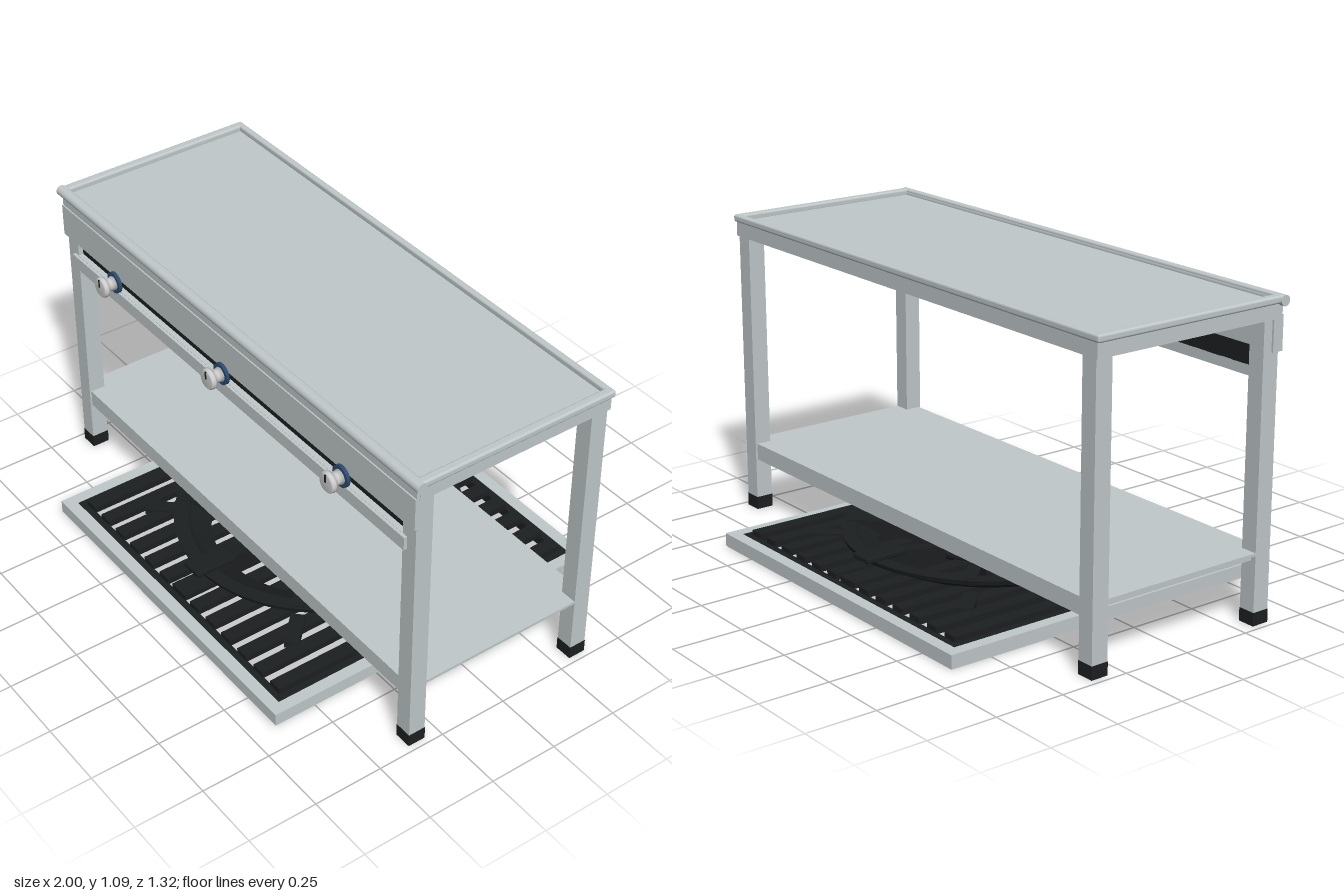
import * as THREE from 'three';
import { RoundedBoxGeometry } from 'three/addons/geometries/RoundedBoxGeometry.js';

const steel = new THREE.MeshStandardMaterial({ color: 0xc0c8ca });
const grey = new THREE.MeshStandardMaterial({ color: 0xcccccc });
const black = new THREE.MeshStandardMaterial({ color: 0x1c1f20 });
const blue = new THREE.MeshStandardMaterial({ color: 0x2c4a70 });

function add(parent, name, geometry, material) {
  const mesh = new THREE.Mesh(geometry, material);
  mesh.name = name;
  parent.add(mesh);
  return mesh;
}

// Box given by its [min, max] range on each axis, optionally with rounded edges
function box(parent, name, [x0, x1], [y0, y1], [z0, z1], material = steel, round = 0) {
  const size = [x1 - x0, y1 - y0, z1 - z0];
  const geometry = round ? new RoundedBoxGeometry(...size, 3, round) : new THREE.BoxGeometry(...size);
  const mesh = add(parent, name, geometry, material);
  mesh.position.set((x0 + x1) / 2, (y0 + y1) / 2, (z0 + z1) / 2);
  return mesh;
}

// Flat square frame lying in the xz plane
function squareFrame(parent, name, outer, inner, y0, y1, material) {
  const square = (r, T) => new T([[-r, -r], [r, -r], [r, r], [-r, r]].map(p => new THREE.Vector2(...p)));
  const shape = square(outer, THREE.Shape);
  shape.holes.push(square(inner, THREE.Path));
  const geometry = new THREE.ExtrudeGeometry(shape, { depth: y1 - y0, bevelEnabled: false });
  geometry.rotateX(-Math.PI / 2).translate(0, y0, 0);
  return add(parent, name, geometry, material);
}

// Turned part from [radius, height] points
const lathe = (points, segments) =>
  new THREE.LatheGeometry(points.map(p => new THREE.Vector2(...p)), segments);

function makeTable() {
  const table = new THREE.Group();
  table.name = 'table';

  // Worktop with a raised lip and a rolled front edge
  box(table, 'worktop', [-0.985, 0.985], [1.012, 1.068], [-0.372, 0.365]);
  for (const s of [-1, 1]) {
    box(table, 'sideLip', s < 0 ? [-0.997, -0.965] : [0.965, 0.997], [1.062, 1.088], [-0.378, 0.378], steel, 0.008);
  }
  box(table, 'backLip', [-0.997, 0.997], [1.062, 1.088], [-0.378, -0.354], steel, 0.008);
  box(table, 'frontLip', [-0.997, 0.997], [1.062, 1.088], [0.354, 0.378], steel, 0.008);
  const roll = add(table, 'frontRoll', new THREE.CylinderGeometry(0.018, 0.018, 2, 24), steel);
  roll.rotation.z = Math.PI / 2;
  roll.position.set(0, 1.07, 0.37);

  // Legs with black feet
  for (const sx of [-1, 1]) for (const sz of [-1, 1]) {
    const x = sx * 0.945, z = sz * 0.337;
    box(table, 'leg', [x - 0.031, x + 0.031], [0.045, 1.014], [z - 0.031, z + 0.031]);
    box(table, 'foot', [x - 0.032, x + 0.032], [0, 0.046], [z - 0.032, z + 0.032], black);
  }

  // Front apron, dark control strip and rail
  box(table, 'apron', [-0.983, 0.983], [0.905, 1.022], [0.34, 0.38]);
  box(table, 'apronTop', [-0.983, 0.983], [1.022, 1.055], [0.345, 0.375]);
  box(table, 'controlStrip', [-0.915, 0.915], [0.845, 0.91], [0.335, 0.35], black);
  box(table, 'frontRail', [-0.935, 0.935], [0.797, 0.845], [0.366, 0.38]);
  box(table, 'railFlange', [-0.915, 0.915], [0.837, 0.846], [0.335, 0.37]);

  // Lower shelf with folded edges
  box(table, 'shelf', [-0.975, 0.975], [0.24, 0.25], [-0.36, 0.36]);
  for (const s of [-1, 1]) {
    const z = s * 0.355, x = s * 0.95;
    box(table, 'shelfLongEdge', [-0.915, 0.915], [0.19, 0.25], [z - 0.006, z + 0.006]);
    box(table, 'shelfShortEdge', [x - 0.006, x + 0.006], [0.22, 0.25], [-0.306, 0.306]);
  }
  return table;
}

// Control knob pointing forward, with a blue bezel
function makeKnob(x) {
  const knob = new THREE.Group();
  knob.name = 'knob';
  add(knob, 'shaft', new THREE.CylinderGeometry(0.01, 0.01, 0.05, 16), grey).position.y = -0.025;
  add(knob, 'bezel', new THREE.CylinderGeometry(0.038, 0.038, 0.012, 32), blue).position.y = 0.006;
  add(knob, 'grip', lathe([[0, 0.01], [0.026, 0.01], [0.022, 0.03], [0.024, 0.042], [0.035, 0.046],
    [0.037, 0.052], [0.035, 0.062], [0.03, 0.066], [0, 0.066]], 32), grey);
  box(knob, 'pointer', [-0.003, 0.003], [0.06, 0.068], [-0.032, -0.004], black);
  knob.rotation.x = Math.PI / 2;
  knob.position.set(x, 0.892, 0.384);
  return knob;
}

// Square burner tray with slatted grate and raised pan support
function makeBurner() {
  const burner = new THREE.Group();
  burner.name = 'burner';
  box(burner, 'trayFloor', [-0.655, 0.655], [0, 0.01], [-0.655, 0.655], grey);
  squareFrame(burner, 'trayRim', 0.658, 0.615, 0.004, 0.05, steel);
  squareFrame(burner, 'grateFrame', 0.615, 0.588, 0.01, 0.049, black);

  for (let i = -6; i <= 6; i++) {
    const x = i * 0.0935;
    box(burner, 'slat', [x - 0.026, x + 0.026], [0.045, 0.068], [-0.592, 0.592], black);
  }

  // Conical support ring
  const ring = [[0.38, 0.066], [0.42, 0.066], [0.505, 0.108], [0.51, 0.124], [0.46, 0.124], [0.45, 0.114], [0.38, 0.08], [0.38, 0.066]];
  const ringGeometry = lathe(ring, 64).toNonIndexed();
  ringGeometry.computeVertexNormals();
  add(burner, 'supportRing', ringGeometry, black);

  // Burner head and inner ring
  add(burner, 'innerRing', lathe([[0.16, 0.06], [0.21, 0.06], [0.21, 0.085], [0.16, 0.085], [0.16, 0.06]], 48), black);
  add(burner, 'burnerHead', new THREE.CylinderGeometry(0.08, 0.1, 0.035, 32), black).position.y = 0.075;

  // Eight arms: straight ones carry pads, diagonal ones reach the grate corners
  for (let i = 0; i < 8; i++) {
    const arm = new THREE.Group();
    arm.name = 'supportArm';
    arm.rotation.y = i * Math.PI / 4;
    const w = i % 2 ? 0.022 : 0.026;
    const side = new THREE.Shape([[0.1, 0.06], [0.4, 0.06], [0.5, 0.105], [0.5, 0.13], [0.38, 0.13], [0.1, 0.088]]
      .map(p => new THREE.Vector2(...p)));
    const blade = new THREE.ExtrudeGeometry(side, { depth: 2 * w, bevelEnabled: false });
    add(arm, 'blade', blade.translate(0, 0, -w), black);
    if (i % 2) {
      box(arm, 'cornerFoot', [0.48, 0.62], [0.05, 0.075], [-0.025, 0.025], black);
    } else {
      box(arm, 'pad', [0.38, 0.54], [0.122, 0.141], [-0.042, 0.042], black, 0.005);
      box(arm, 'padFoot', [0.4, 0.592], [0.05, 0.07], [-0.04, 0.04], black);
    }
    burner.add(arm);
  }
  return burner;
}

export function createModel() {
  const model = new THREE.Group();
  model.name = 'cookingTable';
  model.add(makeTable(), makeBurner());
  for (const x of [-0.64, 0, 0.64]) model.add(makeKnob(x));
  return model;
}
